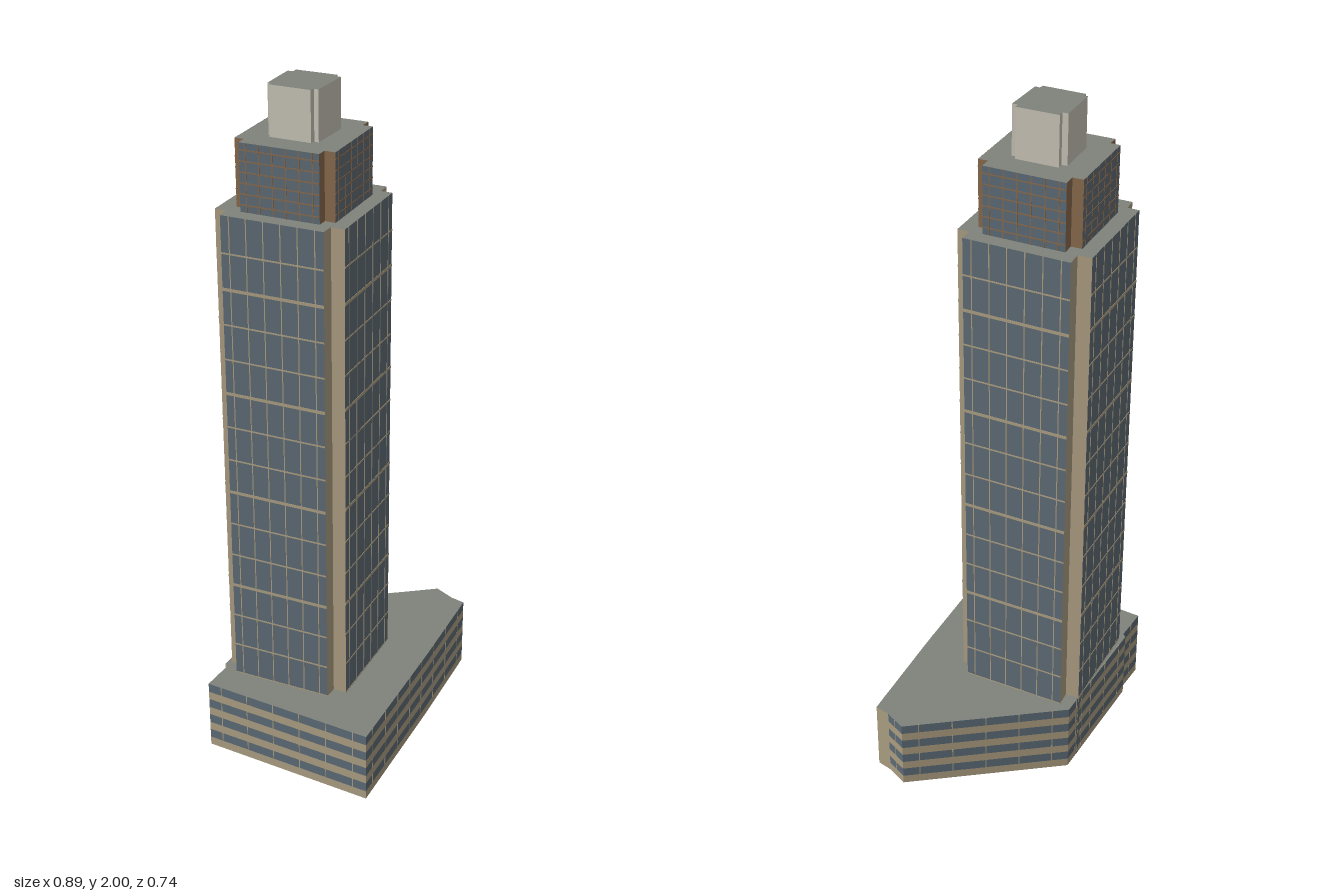
import * as THREE from 'three';
import { mergeGeometries } from 'three/addons/utils/BufferGeometryUtils.js';

const paint = (name, color) => {
  const m = new THREE.MeshStandardMaterial({ color, side: THREE.DoubleSide });
  m.name = name;
  return m;
};

// Outlines as [x, z], clockwise seen from above
const PODIUM = [[-0.445, -0.045], [-0.366, -0.11], [-0.366, -0.125], [-0.08, -0.37],
  [0.40, -0.27], [0.42, -0.205], [0.443, -0.165], [0.22, 0.055], [-0.108, 0.367]];
const TOWER = [[-0.348, -0.073], [-0.322, -0.10], [-0.345, -0.125], [-0.125, -0.332],
  [-0.096, -0.305], [-0.065, -0.337], [0.143, -0.115], [0.115, -0.088],
  [0.138, -0.063], [-0.083, 0.147], [-0.11, 0.118], [-0.14, 0.143]];
const CROWN = [[-0.29, -0.077], [-0.268, -0.097], [-0.287, -0.117], [-0.12, -0.277],
  [-0.098, -0.255], [-0.073, -0.28], [0.087, -0.112], [0.063, -0.09],
  [0.083, -0.07], [-0.087, 0.093], [-0.108, 0.07], [-0.13, 0.09]];
const CAP = [[-0.2, -0.088], [-0.19, -0.097], [-0.198, -0.103], [-0.112, -0.188],
  [-0.10, -0.177], [-0.088, -0.19], [-0.004, -0.103], [-0.015, -0.092],
  [-0.003, -0.082], [-0.098, 0.003], [-0.106, -0.008], [-0.118, 0]];

// Pairs of neighbouring outline points
const edgesOf = (outline) => outline.map((a, i) => [a, outline[(i + 1) % outline.length]]);
const lengthOf = ([a, b]) => Math.hypot(b[0] - a[0], b[1] - a[1]);

// Upright strip along each edge, facing outward
function walls(edges, y0, y1) {
  const pos = [];
  for (const [a, b] of edges) {
    const p = [b[0], y0, b[1]], q = [a[0], y0, a[1]];
    const r = [a[0], y1, a[1]], s = [b[0], y1, b[1]];
    pos.push(...p, ...q, ...r, ...p, ...r, ...s);
  }
  const g = new THREE.BufferGeometry();
  g.setAttribute('position', new THREE.Float32BufferAttribute(pos, 3));
  g.computeVertexNormals();
  return g;
}

// Flat roof over an outline
function roof(outline, y) {
  const shape = new THREE.Shape(outline.map(([x, z]) => new THREE.Vector2(x, -z)));
  return new THREE.ShapeGeometry(shape).rotateX(-Math.PI / 2).translate(0, y, 0);
}

// Thin bar set in a wall: from t0 to t1 along the edge, y0 to y1 in height
function bar([a, b], t0, t1, y0, y1) {
  const t = (t0 + t1) / 2;
  const g = new THREE.BoxGeometry((t1 - t0) * lengthOf([a, b]), y1 - y0, 0.002);
  g.rotateY(-Math.atan2(b[1] - a[1], b[0] - a[0]));
  return g.translate(a[0] + (b[0] - a[0]) * t, (y0 + y1) / 2, a[1] + (b[1] - a[1]) * t);
}

// Evenly spaced upright bars on one edge
function mullions(edge, count, width, y0, y1) {
  const half = width / 2 / lengthOf(edge);
  return Array.from({ length: count }, (_, i) => {
    const t = (i + 0.5) / count;
    return bar(edge, t - half, t + half, y0, y1);
  });
}

export function createModel() {
  const glass = paint('blue grey glass', 0x5c6a75);
  const stone = paint('tan stone', 0xaa9c80);
  const bronze = paint('brown bronze', 0x86684c);
  const roofing = paint('grey roofing', 0x7f837b);
  const pale = paint('pale concrete', 0xc6c2b5);

  const model = new THREE.Group();
  const add = (parent, name, geometry, material) => {
    const mesh = new THREE.Mesh(geometry, material);
    mesh.name = name;
    parent.add(mesh);
  };
  const section = (name) => {
    const g = new THREE.Group();
    g.name = name;
    model.add(g);
    return g;
  };

  // Podium: four floors, stone band below a window band, two solid stone piers
  const podium = section('podium');
  const podiumEdges = edgesOf(PODIUM);
  const isPier = (e) => lengthOf(e) < 0.06;
  const striped = podiumEdges.filter((e) => !isPier(e));
  const top = 0.22, floor = top / 4;
  const stoneBands = [walls(podiumEdges.filter(isPier), 0, top)];
  const windowBands = [], podiumBars = [];
  for (let i = 0; i < 4; i++) {
    const y = i * floor;
    stoneBands.push(walls(striped, y, y + floor * 0.48));
    windowBands.push(walls(striped, y + floor * 0.48, y + floor));
    for (const e of striped) {
      const count = Math.max(1, Math.round(lengthOf(e) / 0.09));
      podiumBars.push(...mullions(e, count, 0.003, y + floor * 0.48, y + floor));
    }
  }
  add(podium, 'podiumStone', mergeGeometries(stoneBands), stone);
  add(podium, 'podiumWindows', mergeGeometries(windowBands), glass);
  add(podium, 'podiumMullions', mergeGeometries(podiumBars), stone);
  add(podium, 'podiumRoof', roof(PODIUM, top), roofing);

  // Main shaft: glass faces, stone notched corners, grid of bars
  const tower = section('tower');
  const long = (e) => lengthOf(e) > 0.06;
  const towerEdges = edgesOf(TOWER), towerFaces = towerEdges.filter(long);
  const towerBars = [];
  for (const e of towerFaces) {
    towerBars.push(...mullions(e, 6, 0.003, 0, 1.67));
    for (let i = -3; i < 13; i++) {
      const y = 0.322 + i * 0.1035;
      const half = (i + 4) % 3 === 0 ? 0.0045 : 0.0022;
      towerBars.push(bar(e, 0, 1, y - half, y + half));
    }
  }
  add(tower, 'towerGlass', walls(towerFaces, 0, 1.67), glass);
  add(tower, 'towerCorners', walls(towerEdges.filter((e) => !long(e)), 0, 1.67), stone);
  add(tower, 'towerGrid', mergeGeometries(towerBars), stone);
  add(tower, 'towerRoof', roof(TOWER, 1.67), roofing);

  // Set-back crown with bronze corners and bars
  const crown = section('crown');
  const crownEdges = edgesOf(CROWN), crownFaces = crownEdges.filter(long);
  const crownBars = [];
  for (const e of crownFaces) {
    crownBars.push(...mullions(e, 6, 0.003, 1.67, 1.86));
    for (let i = 0; i < 6; i++) {
      const y = 1.69 + i * 0.03;
      crownBars.push(bar(e, 0, 1, y - 0.0018, y + 0.0018));
    }
  }
  add(crown, 'crownGlass', walls(crownFaces, 1.67, 1.86), glass);
  add(crown, 'crownCorners', walls(crownEdges.filter((e) => !long(e)), 1.67, 1.86), bronze);
  add(crown, 'crownGrid', mergeGeometries(crownBars), bronze);
  add(crown, 'crownRoof', roof(CROWN, 1.86), roofing);

  // Plain plant room on top
  const cap = section('plantRoom');
  add(cap, 'plantRoomWalls', walls(edgesOf(CAP), 1.86, 2), pale);
  add(cap, 'plantRoomRoof', roof(CAP, 2), roofing);

  return model;
}
